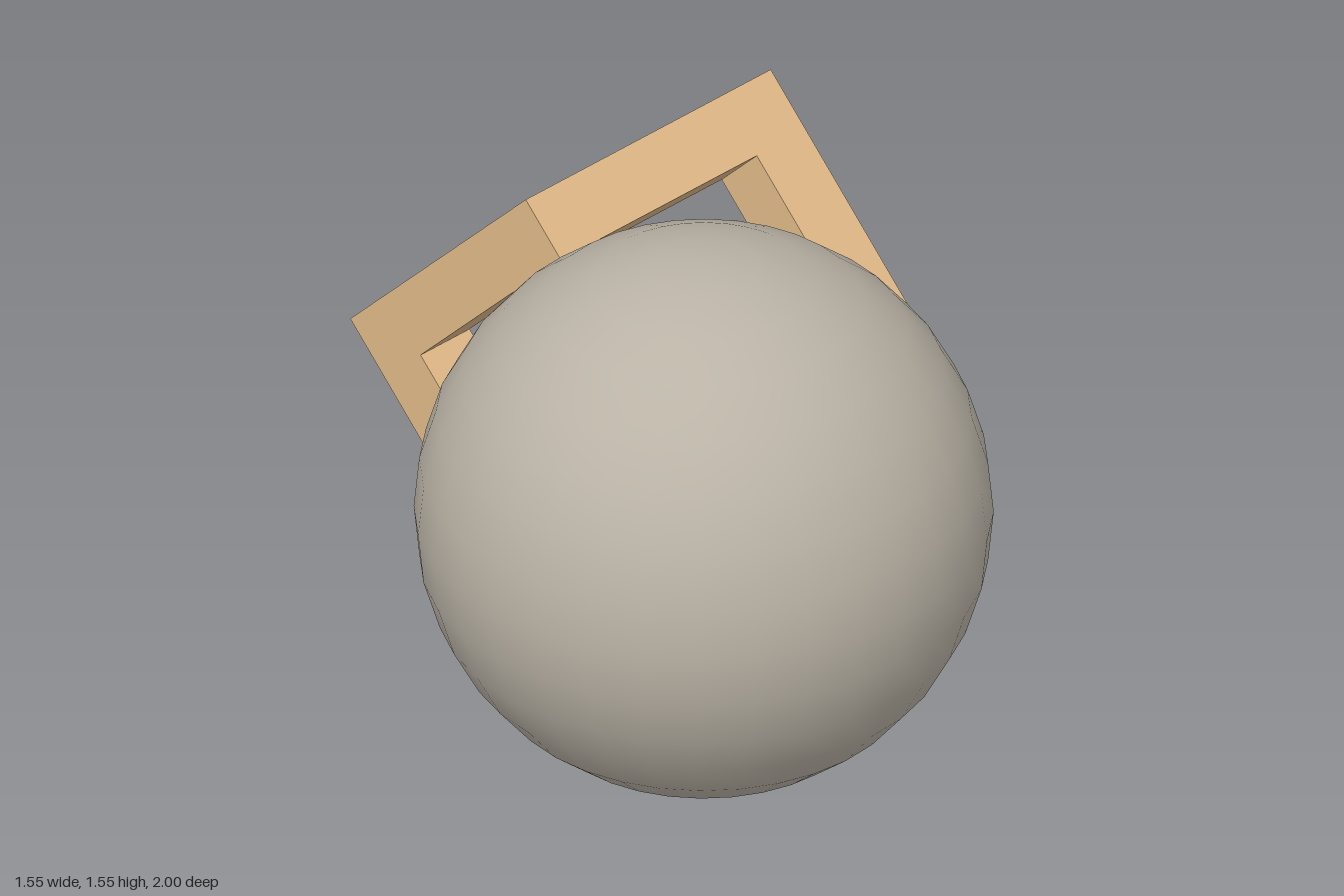
import * as THREE from 'three';

export function createModel() {
  const model = new THREE.Group();
  const stone = new THREE.MeshStandardMaterial({ color: 0xb9b2a5 });
  stone.name = 'warm grey';
  const wood = new THREE.MeshStandardMaterial({ color: 0xdeb887 });
  wood.name = 'light wood';

  // Smooth ball resting on the ground
  const ball = new THREE.Mesh(new THREE.SphereGeometry(0.777, 32, 16), stone);
  ball.name = 'ball';
  ball.position.set(0, 0.777, 0.222);
  model.add(ball);

  // Closed zigzag frame: six beams along the edges of a tilted cube
  const frame = new THREE.Group();
  frame.name = 'zigzagFrame';
  frame.position.set(0, 0.78, -0.625);
  frame.rotation.set(Math.PI / 4, Math.atan(Math.SQRT1_2), 0, 'YXZ');
  model.add(frame);

  const size = 0.934, width = 0.187;
  const reach = (size - width) / 2;
  const corners = [
    [-1, 1, -1], [1, 1, -1], [1, 1, 1],
    [1, -1, 1], [-1, -1, 1], [-1, -1, -1],
  ].map((c) => new THREE.Vector3(...c).multiplyScalar(reach));

  // Each beam owns its starting corner and butts against the next beam
  corners.forEach((start, i) => {
    const end = corners[(i + 1) % corners.length];
    const step = end.clone().sub(start);
    const dims = step.toArray().map((d) => (Math.abs(d) > 0.01 ? size - width : width));
    const beam = new THREE.Mesh(new THREE.BoxGeometry(...dims), wood);
    beam.name = `frameBeam${i + 1}`;
    beam.position.copy(start).add(end).multiplyScalar(0.5);
    beam.position.addScaledVector(step.normalize(), -width / 2);
    frame.add(beam);
  });

  return model;
}
